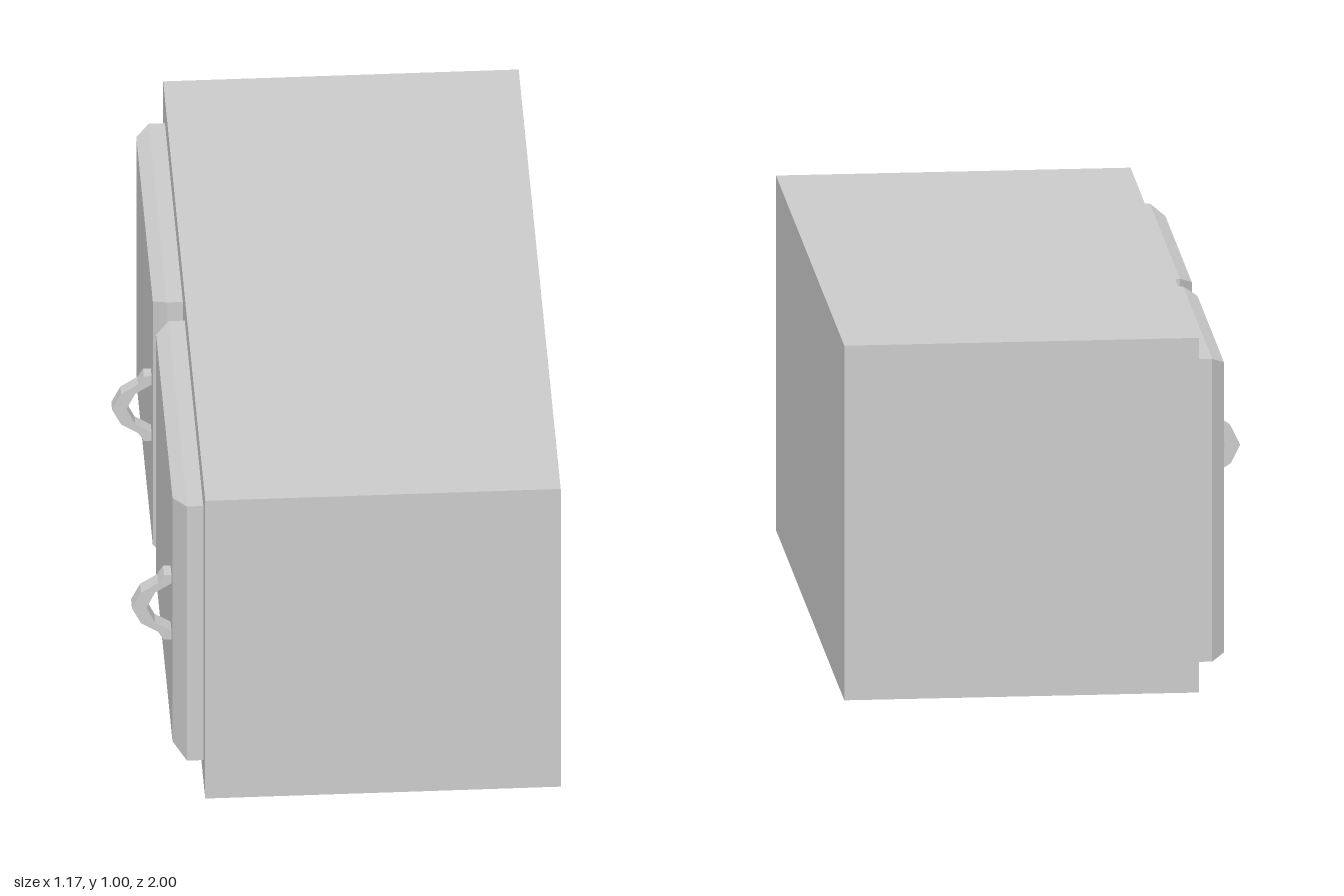
import * as THREE from 'three';

const material = new THREE.MeshStandardMaterial({ color: 0xcccccc, flatShading: true });

function addMesh(parent, name, geometry) {
  const mesh = new THREE.Mesh(geometry, material);
  mesh.name = name;
  parent.add(mesh);
  return mesh;
}

// Lofts rectangles stacked towards -x, each { x, y: [low, high], z: [low, high] }, and caps the last one
function loftPanel(sections) {
  const rings = sections.map(({ x, y, z }) => [
    [x, y[0], z[0]], [x, y[0], z[1]], [x, y[1], z[1]], [x, y[1], z[0]],
  ]);
  const positions = [];
  const quad = (a, b, c, d) => positions.push(...a, ...b, ...c, ...a, ...c, ...d);
  for (let r = 0; r < rings.length - 1; r++) {
    for (let i = 0; i < 4; i++) {
      const j = (i + 1) % 4;
      quad(rings[r][i], rings[r][j], rings[r + 1][j], rings[r + 1][i]);
    }
  }
  quad(...rings[rings.length - 1]);
  const geometry = new THREE.BufferGeometry();
  geometry.setAttribute('position', new THREE.Float32BufferAttribute(positions, 3));
  geometry.computeVertexNormals();
  return geometry;
}

// Faceted bow handle: half outline mirrored about its mid height, extruded along z
function handleGeometry(depth) {
  const midY = 0.502;
  const outer = [[-0.47, 0.109], [-0.497, 0.109], [-0.513, 0.082], [-0.56, 0.051], [-0.585, 0]];
  const inner = [[-0.545, 0], [-0.521, 0.051], [-0.47, 0.084]];
  const mirror = (points) => points.filter((p) => p[1] > 0).map(([x, y]) => [x, -y]).reverse();
  const outline = [...outer, ...mirror(outer), ...mirror(inner).map((p) => p), ...[...inner].reverse().slice(2), ...[]];
  // Inner edge runs from the lower foot through the bow to the upper foot
  outline.splice(outer.length + mirror(outer).length);
  outline.push(...mirror(inner), ...inner);
  const shape = new THREE.Shape(outline.map(([x, y]) => new THREE.Vector2(x, midY + y)));
  return new THREE.ExtrudeGeometry(shape, { depth, bevelEnabled: false });
}

export function createModel() {
  const model = new THREE.Group();
  model.name = 'cabinet';

  // Carcass
  const body = addMesh(model, 'cabinetBody', new THREE.BoxGeometry(0.98, 1.004, 2));
  body.position.set(0.095, 0.502, 0);

  // Two bevelled doors with their handles on the -x side
  const doors = [
    { name: 'backDoor', base: [-0.915, -0.063], face: [-0.88, -0.097], handle: [-0.192, -0.155] },
    { name: 'frontDoor', base: [0.026, 0.91], face: [0.063, 0.84], handle: [0.748, 0.792] },
  ];
  for (const { name, base, face, handle } of doors) {
    const door = new THREE.Group();
    door.name = name;
    model.add(door);
    addMesh(door, 'doorPanel', loftPanel([
      { x: -0.39, y: [0.066, 0.923], z: base },
      { x: -0.44, y: [0.066, 0.923], z: base },
      { x: -0.476, y: [0.083, 0.904], z: face },
    ]));
    addMesh(door, 'doorHandle', handleGeometry(handle[1] - handle[0])).position.z = handle[0];
  }
  return model;
}
